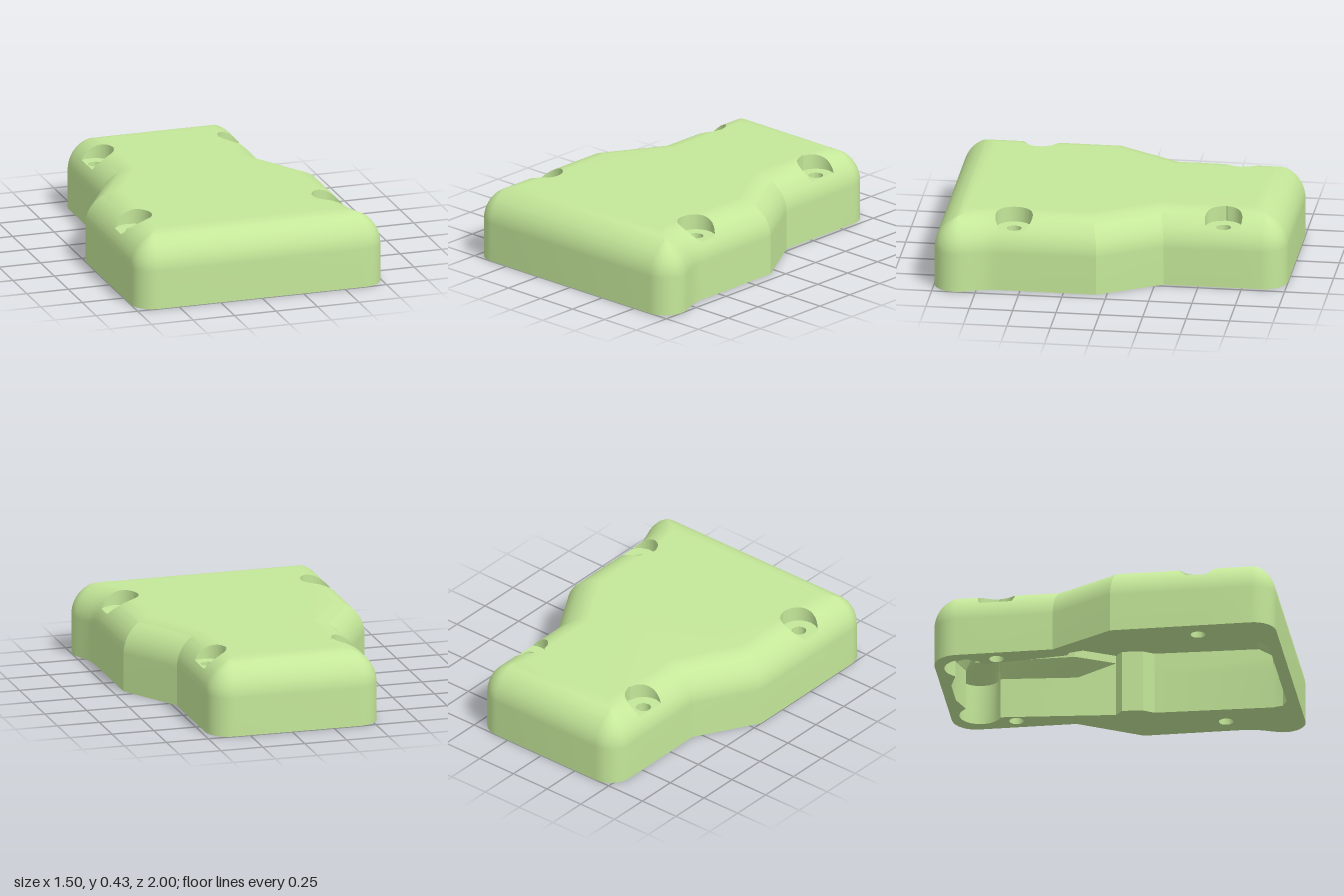
import * as THREE from 'three';
import { mergeGeometries, toCreasedNormals } from 'three/addons/utils/BufferGeometryUtils.js';

const FILLET = 0.2, SIDE_TOP = 0.225, TOP = SIDE_TOP + FILLET;
const FLOOR = 0.335, POCKET_R = 0.107, SCREW_R = 0.042, CENTRE = -0.0325, CEILING = 0.372;

// Screw pockets; side is +1 where the pocket runs inward along +x
const pockets = {
  backRight: { x: -0.455, z: -0.635, side: 1 },
  frontRight: { x: -0.625, z: 0.55, side: 1 },
  frontLeft: { x: 0.562, z: 0.55, side: -1 },
  backLeft: { x: 0.392, z: -0.635, side: -1 },
};

// Plan outline: x, z, corner radius, pocket on the edge that starts here
const outline = [
  [-0.54, -1, 0.14, 'backRight'], [-0.54, -0.3, 0], [-0.75, 0.06, 0, 'frontRight'],
  [-0.75, 1, 0.13], [0.813, 1, 0.13], [0.721, 0.775, 0], [0.702, 0.725, 0],
  [0.692, 0.69, 0], [0.687, 0.652, 0, 'frontLeft'], [0.687, 0.06, 0],
  [0.477, -0.3, 0, 'backLeft'], [0.477, -1, 0.14],
];

const count = outline.length;
const normals = outline.map(([x, z], i) => {
  const [x2, z2] = outline[(i + 1) % count];
  return new THREE.Vector2(z2 - z, x - x2).normalize();
});

// Corner i of the outline moved inward by d
function mitre(i, d) {
  const a = normals[(i + count - 1) % count], b = normals[i];
  const k = d / (1 + a.dot(b));
  return new THREE.Vector2(outline[i][0] + (a.x + b.x) * k, outline[i][1] + (a.y + b.y) * k);
}

// Outline inset by d, with two extra points where each pocket cuts the side
function ring(d, floorInset) {
  const pts = [];
  outline.forEach(([sideX, , r, name], i) => {
    if (r) {
      const rr = Math.max(r - d, 0.001), c = mitre(i, d + rr);
      const a = normals[(i + count - 1) % count], b = normals[i];
      const a0 = a.angle(), turn = Math.atan2(a.cross(b), a.dot(b));
      for (let k = 0; k <= 10; k++) {
        const t = a0 + turn * k / 10;
        pts.push(new THREE.Vector2(c.x - rr * Math.cos(t), c.y - rr * Math.sin(t)));
      }
    } else pts.push(mitre(i, d));
    if (name) {
      const p = pockets[name];
      const dx = sideX + p.side * Math.max(d, floorInset) - p.x;
      const w = Math.sqrt(Math.max(0, POCKET_R ** 2 - dx * dx)) * p.side;
      const x = sideX + p.side * d;
      pts.push(Object.assign(new THREE.Vector2(x, p.z - w), { pocket: name }));
      pts.push(new THREE.Vector2(x, p.z + w));
    }
  });
  return pts;
}

// Triangles between successive loops of {x, y = z} points, each with a height
function loft(loops, heights, closed = true, skip = () => false) {
  const pos = [];
  for (let k = 0; k + 1 < loops.length; k++) {
    const a = loops[k], b = loops[k + 1], n = a.length;
    for (let i = 0; i < (closed ? n : n - 1); i++) {
      if (skip(k, i)) continue;
      const j = (i + 1) % n;
      const h = (m, q) => (Array.isArray(heights[m]) ? heights[m][q] : heights[m]);
      const A = [a[i].x, h(k, i), a[i].y], B = [a[j].x, h(k, j), a[j].y];
      const C = [b[j].x, h(k + 1, j), b[j].y], D = [b[i].x, h(k + 1, i), b[i].y];
      pos.push(...A, ...B, ...C, ...A, ...C, ...D);
    }
  }
  return new THREE.BufferGeometry().setAttribute('position', new THREE.Float32BufferAttribute(pos, 3));
}

// Flat face at height y, facing up (s = 1) or down (s = -1)
function flat(pts, holes, y, s) {
  const flip = (list) => list.map((p) => new THREE.Vector2(p.x, -s * p.y));
  const shape = new THREE.Shape(flip(pts));
  shape.holes = holes.map((h) => new THREE.Path(flip(h)));
  const g = new THREE.ShapeGeometry(shape).rotateX(-s * Math.PI / 2).translate(0, y, 0).toNonIndexed();
  g.deleteAttribute('uv');
  g.deleteAttribute('normal');
  return g;
}

const circle = (p, r, n = 32) => Array.from({ length: n }, (_, i) =>
  new THREE.Vector2(p.x + r * Math.cos(i / n * 2 * Math.PI), p.z + r * Math.sin(i / n * 2 * Math.PI)));

// One side of the cavity, back to front, as distance from the centre line and z
function cavitySide(sign, middle) {
  const pts = [[0.1, -0.94], [0.22, -0.9]];
  for (let k = 0; k <= 12; k++) {
    const t = -2.4 + k / 12 * 3.6;
    pts.push([0.32 + 0.12 * Math.cos(t), -0.83 + 0.12 * Math.sin(t)]);
  }
  pts.push([0.365, -0.68], ...middle, [0.44, 0.84], [0.425, 0.9], [0.37, 0.93]);
  return pts.map(([w, z]) => new THREE.Vector2(CENTRE + sign * w, z));
}

export function createModel() {
  const group = new THREE.Group();
  const material = new THREE.MeshStandardMaterial({ color: 0xc4e799, side: THREE.DoubleSide });
  const add = (name, parts, crease = 0.5) => {
    const mesh = new THREE.Mesh(toCreasedNormals(mergeGeometries(parts), crease), material);
    mesh.name = name;
    group.add(mesh);
  };

  // Outer shell: straight walls, then a rounded shoulder with the pockets left open
  const floorAngle = Math.asin((FLOOR - SIDE_TOP) / FILLET);
  const floorInset = FILLET * (1 - Math.cos(floorAngle));
  const angles = [];
  for (let k = 0; k <= 10; k++) angles.push(floorAngle * k / 10);
  for (let k = 1; k <= 24; k++) angles.push(floorAngle + (Math.PI / 2 - floorAngle) * k / 24);
  const loops = [ring(0, floorInset), ...angles.map((t) => ring(FILLET * (1 - Math.cos(t)), floorInset))];
  const heights = [0, ...angles.map((t) => SIDE_TOP + FILLET * Math.sin(t))];
  const floorLevel = 11, last = loops.length - 1;
  const shell = loft(loops, heights, true, (k, i) => k >= floorLevel && loops[0][i].pocket);

  // Pocket walls, floors and screw holes; the top face follows their arcs
  const topPts = [];
  loops[last].forEach((pt, i) => {
    topPts.push(pt);
    if (!pt.pocket) return;
    const p = pockets[pt.pocket], edge = [], rim = [];
    for (let k = floorLevel; k <= last; k++) { edge.push(loops[k][i]); rim.push(heights[k]); }
    const half = Math.atan2(Math.abs(pt.y - p.z), (pt.x - p.x) * p.side);
    if (half > 0.01) {
      for (let k = 1; k < 16; k++) {
        const t = half * (k / 8 - 1), r = POCKET_R * p.side;
        const q = new THREE.Vector2(p.x + r * Math.cos(t), p.z + r * Math.sin(t));
        edge.push(q); rim.push(TOP); topPts.push(q);
      }
    }
    for (let k = last; k >= floorLevel; k--) { edge.push(loops[k][i + 1]); rim.push(heights[k]); }
    const hole = circle(p, SCREW_R);
    add(pt.pocket + 'PocketWall', [loft([edge, edge], [FLOOR, rim], false)]);
    add(pt.pocket + 'PocketFloor', [flat(edge, [hole], FLOOR, 1)]);
    add(pt.pocket + 'ScrewHole', [loft([hole, hole], [FLOOR, 0])]);
  });
  add('outerShell', [shell, flat(topPts, [], TOP, 1)], 0.26);

  // Cavity: a recess on the right side, a small rib on the left, round lobes at the back
  const cavity = [
    ...cavitySide(-1, [[0.415, -0.23], [0.45, -0.21], [0.47, -0.12], [0.5, 0], [0.525, 0.09], [0.52, 0.16], [0.45, 0.16]]),
    ...cavitySide(1, [[0.4, -0.28], [0.42, -0.06], [0.37, -0.02], [0.38, 0.1], [0.42, 0.16]]).reverse(),
  ];
  // Upper loops draw in at the ends and pass between the back pockets
  const drawIn = (back, front) => cavity.map((p) => {
    const w = p.y < -0.22 ? 0.3 : 0.6;
    return new THREE.Vector2(THREE.MathUtils.clamp(p.x, CENTRE - w, CENTRE + w), THREE.MathUtils.clamp(p.y, back, front));
  });
  const upper = drawIn(-0.8, 0.76);
  add('cavityWall', [loft([upper, drawIn(-0.86, 0.85), cavity, cavity], [CEILING, 0.325, 0.24, 0])], 0.4);
  add('cavityCeiling', [flat(upper, [], CEILING, -1)]);

  // Underside rim
  const screwHoles = Object.values(pockets).map((p) => circle(p, SCREW_R));
  add('undersideRim', [flat(loops[0], [cavity, ...screwHoles], 0, -1)]);
  return group;
}
